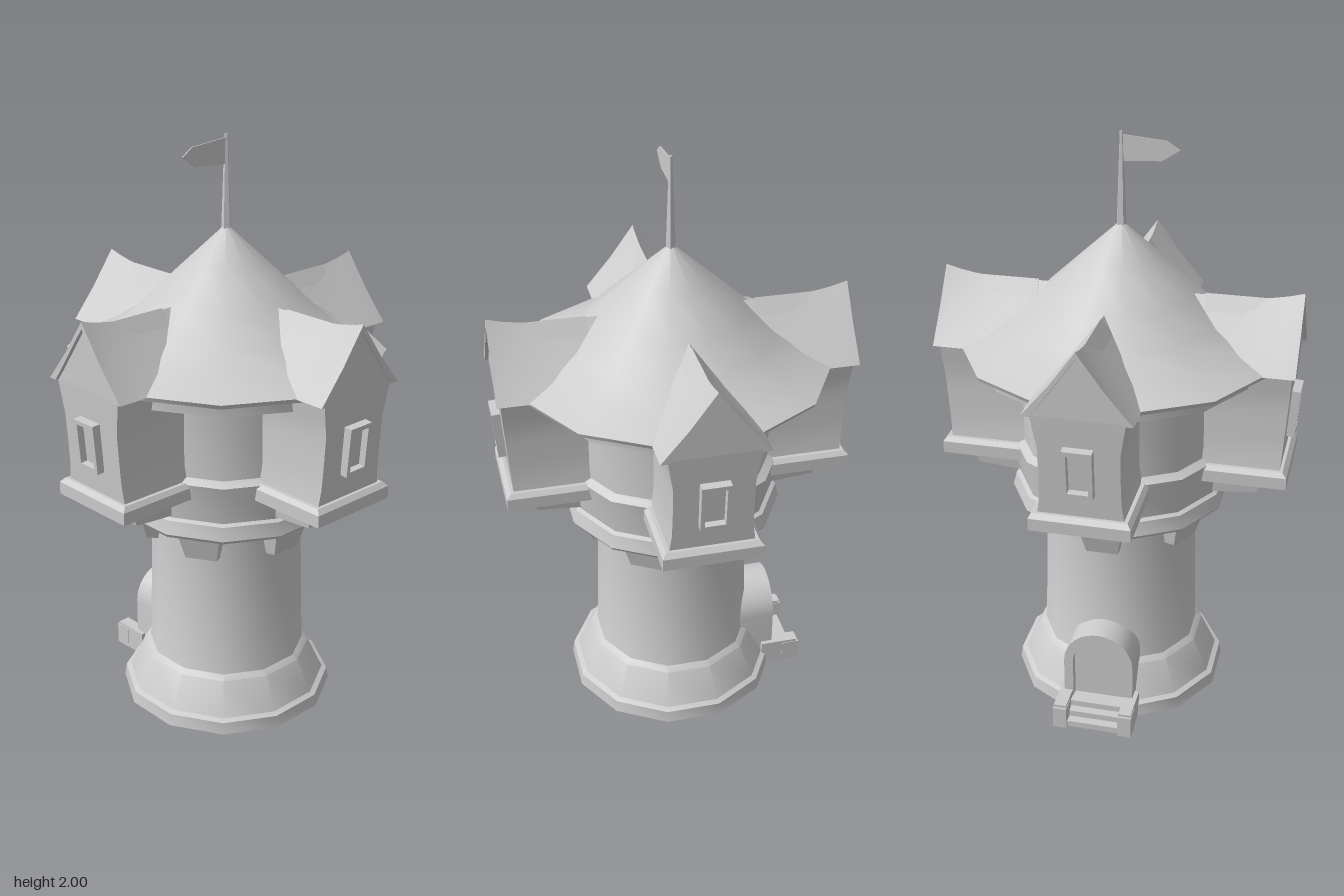
import * as THREE from 'three';
import { toCreasedNormals } from 'three/addons/utils/BufferGeometryUtils.js';

const material = new THREE.MeshStandardMaterial({ color: 0xcccccc, side: THREE.DoubleSide });

function add(parent, name, geometry, crease = 0.6) {
  const mesh = new THREE.Mesh(toCreasedNormals(geometry, crease), material);
  mesh.name = name;
  parent.add(mesh);
  return mesh;
}

// Twelve-sided ring of walls from a [radius, y] profile
function lathe(profile) {
  return new THREE.LatheGeometry(profile.map(([r, y]) => new THREE.Vector2(r, y)), 12, Math.PI / 12);
}

// Box given by its limits
function box(x0, x1, y0, y1, z0, z1, ySteps = 1) {
  return new THREE.BoxGeometry(x1 - x0, y1 - y0, z1 - z0, 1, ySteps, 1)
    .translate((x0 + x1) / 2, (y0 + y1) / 2, (z0 + z1) / 2);
}

// Move every vertex by a rule
function bend(geometry, rule) {
  const p = geometry.attributes.position;
  const v = new THREE.Vector3();
  for (let i = 0; i < p.count; i++) {
    rule(v.fromBufferAttribute(p, i));
    p.setXYZ(i, v.x, v.y, v.z);
  }
  return geometry;
}

function extrude(points, z0, z1, steps = 1) {
  const shape = new THREE.Shape(points.map(([x, y]) => new THREE.Vector2(x, y)));
  return new THREE.ExtrudeGeometry(shape, { depth: z1 - z0, steps, bevelEnabled: false }).translate(0, 0, z0);
}

// Bracket that narrows and recedes towards its foot
function bracket(w, y0, y1, z0, z1, recede, lift) {
  return bend(box(-w, w, y0, y1, z0, z1), v => {
    if (v.y > (y0 + y1) / 2) return;
    v.x *= 0.72;
    if (v.z > (z0 + z1) / 2) { v.z -= recede; v.y += lift; }
  });
}

// Projecting gabled room, built facing +z
function createDormer() {
  const g = new THREE.Group();
  g.name = 'dormer';

  // Walls flare at top and bottom and lean outwards
  add(g, 'dormerWalls', bend(box(-1, 1, 0.93, 1.29, 0.25, 0.57, 6), v => {
    const t = (v.y - 0.93) / 0.36;
    v.x *= 0.13 + 0.01 * Math.max(0, 1 - t * 5) + 0.02 * Math.max(0, t * 3 - 2);
    if (v.z > 0.4) v.z = 0.566 + 0.024 * t;
  }));
  add(g, 'gable', extrude([[-0.15, 1.285], [0.15, 1.285], [0, 1.485]], 0.28, 0.59));

  // Roof shell, its ridge sweeping up towards the outer end
  const roof = [[-0.175, 1.285], [-0.145, 1.285], [0, 1.46], [0.145, 1.285], [0.175, 1.285],
    [0.085, 1.378], [0, 1.48], [-0.085, 1.378]];
  add(g, 'dormerRoof', bend(extrude(roof, 0.2, 0.602, 8), v => {
    const t = Math.max(0, (v.z - 0.4) / 0.2);
    v.y += 0.03 * t * t * (v.y - 1.285) / 0.195;
  }), 0.5);

  // Floor slab with a sloped upper edge
  add(g, 'dormerFloor', box(-0.165, 0.165, 0.88, 0.922, 0.25, 0.592));
  add(g, 'dormerSill', bend(box(-0.165, 0.165, 0.922, 0.937, 0.25, 0.592), v => {
    if (v.y > 0.93) { v.x *= 0.92; if (v.z > 0.5) v.z -= 0.015; }
  }));

  // Window frame and recessed pane, leaning with the wall
  const win = new THREE.Group();
  win.name = 'window';
  const frame = new THREE.Shape([[-0.048, -0.083], [0.048, -0.083], [0.048, 0.083], [-0.048, 0.083]]
    .map(p => new THREE.Vector2(...p)));
  frame.holes.push(new THREE.Path([[-0.034, -0.068], [-0.034, 0.068], [0.034, 0.068], [0.034, -0.068]]
    .map(p => new THREE.Vector2(...p))));
  add(win, 'windowFrame', new THREE.ExtrudeGeometry(frame, { depth: 0.04, bevelEnabled: false }).translate(0, 0, -0.012));
  add(win, 'windowPane', box(-0.036, 0.036, -0.07, 0.07, -0.01, 0.004));
  win.position.set(0, 1.103, 0.577);
  win.rotation.x = 0.08;
  g.add(win);

  // Pair of brackets under the floor
  for (const s of [-1, 1]) {
    add(g, 'dormerBracket', bracket(0.036, 0.803, 0.882, 0.3, 0.505, 0.018, 0.016)).position.x = s * 0.07;
  }
  return g;
}

// Arched doorway with steps, built facing +z
function createEntrance() {
  const g = new THREE.Group();
  g.name = 'entrance';
  const arch = (w, Path) => {
    const p = new Path();
    p.moveTo(-w, 0);
    p.lineTo(w, 0);
    p.lineTo(w, 0.215);
    p.absarc(0, 0.215, w, 0, Math.PI, false);
    p.lineTo(-w, 0);
    return p;
  };
  const shape = arch(0.122, THREE.Shape);
  shape.holes.push(arch(0.09, THREE.Path));
  add(g, 'doorArch', new THREE.ExtrudeGeometry(shape, { depth: 0.13, bevelEnabled: false, curveSegments: 10 })
    .translate(0, 0, 0.232));
  add(g, 'door', new THREE.ExtrudeGeometry(arch(0.092, THREE.Shape), { depth: 0.02, bevelEnabled: false, curveSegments: 10 })
    .translate(0, 0, 0.315));
  for (let i = 0; i < 3; i++) {
    add(g, 'step', box(-0.1, 0.1, i * 0.022, (i + 1) * 0.022, 0.32, 0.45 - i * 0.03));
  }
  // Low side walls, lower at the outer end
  for (const s of [-1, 1]) {
    add(g, 'stepSideWall', box(s * 0.115 - 0.022, s * 0.115 + 0.022, 0, 0.09, 0.32, 0.455));
    add(g, 'stepSideFoot', box(s * 0.115 - 0.024, s * 0.115 + 0.024, 0, 0.08, 0.4, 0.462));
  }
  return g;
}

export function createModel() {
  const model = new THREE.Group();
  model.name = 'watchtower';

  // Open-bottomed base, shaft, and widened upper storey
  add(model, 'towerBody', lathe([
    [0.376, 0], [0.37, 0.042], [0.352, 0.05], [0.298, 0.165], [0.278, 0.18],
    [0.275, 0.19], [0.26, 0.735], [0.37, 0.735], [0.378, 0.747], [0.366, 0.793],
    [0.352, 0.8], [0.372, 0.933], [0.346, 0.95], [0.342, 1.19],
    [0.474, 1.222], [0.478, 1.28],
  ]));

  // Concave main roof with its eave underside
  add(model, 'mainRoof', lathe([
    [0.46, 1.272], [0.53, 1.272], [0.537, 1.287], [0.44, 1.33],
    [0.34, 1.392], [0.254, 1.477], [0.13, 1.592], [0, 1.712],
  ]));

  // Six corbels below the upper storey
  for (let i = 0; i < 6; i++) {
    add(model, 'corbel', bracket(0.075, 0.62, 0.74, 0.22, 0.325, 0.03, 0.014)).rotation.y = i * Math.PI / 3;
  }

  // Four dormers
  for (let i = 0; i < 4; i++) {
    const dormer = createDormer();
    dormer.rotation.y = i * Math.PI / 2;
    model.add(dormer);
  }

  // Entrance at the back
  const entrance = createEntrance();
  entrance.rotation.y = Math.PI;
  model.add(entrance);

  // Pole and pennant
  add(model, 'flagPole', new THREE.CylinderGeometry(0.006, 0.017, 0.31, 5).translate(0, 1.845, 0));
  add(model, 'flag', extrude([[0, 1.905], [0, 1.99], [-0.145, 1.977], [-0.188, 1.95], [-0.13, 1.912]], -0.002, 0.002));

  return model;
}
